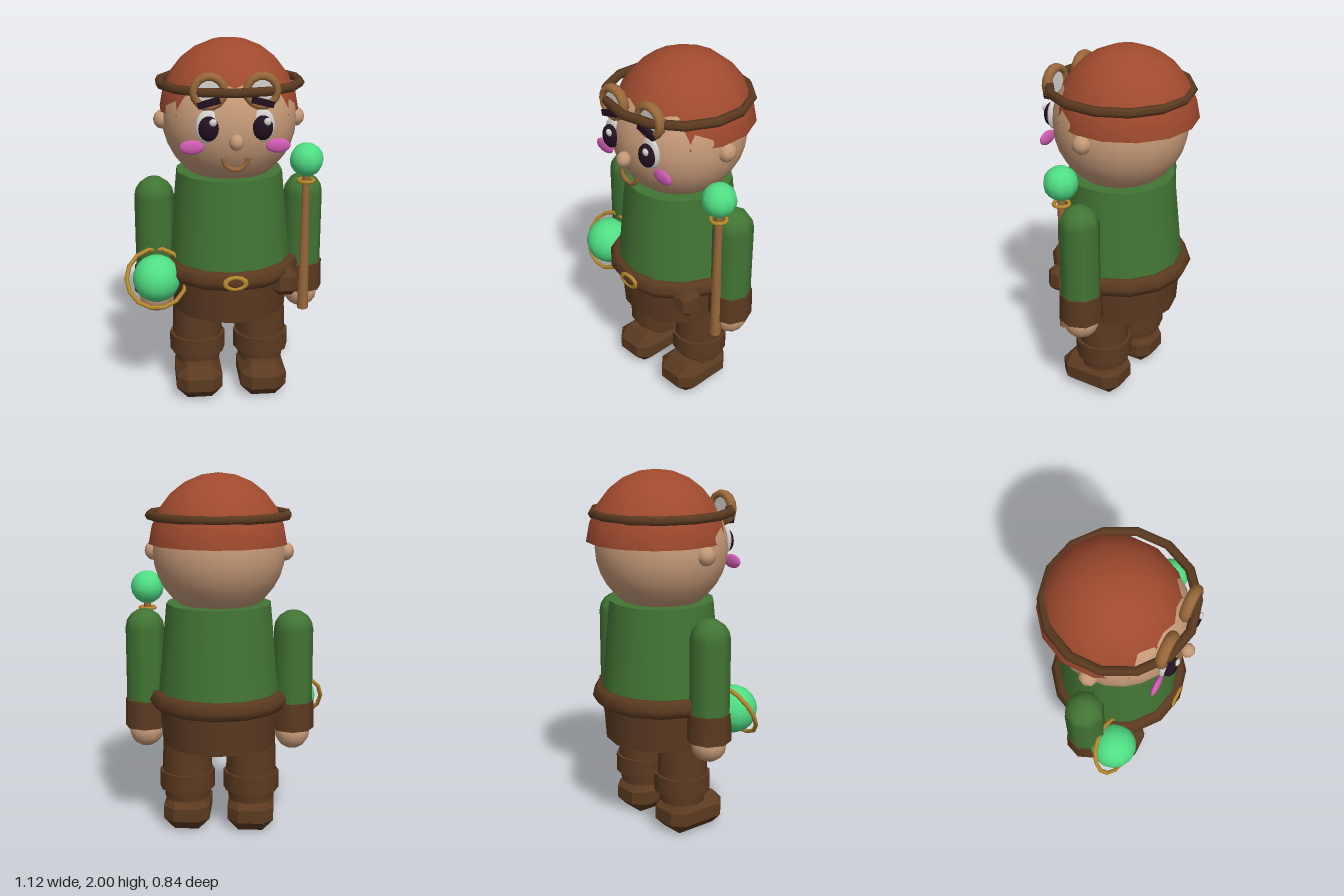
import * as THREE from 'three';
import { ConvexGeometry } from 'three/addons/geometries/ConvexGeometry.js';

const mat = (name, color) => new THREE.MeshStandardMaterial({ name, color });

export function createModel() {
  const skin = mat('skin', 0xc69a78), hair = mat('hair', 0xa04a2e), green = mat('green cloth', 0x427534),
    leather = mat('brown leather', 0x5b3a20), wood = mat('tan wood', 0x98683a), gold = mat('gold', 0xb98a2e),
    orbGreen = mat('orb green', 0x50de84), white = mat('white', 0xd4d2ce), dark = mat('dark eye', 0x22101f),
    pink = mat('cheek pink', 0xcf5cb4);

  const root = new THREE.Group();
  const body = new THREE.Group();
  body.name = 'figure';
  body.position.x = 0.027;
  root.add(body);

  const add = (name, geometry, material, x, y, z) => {
    const m = new THREE.Mesh(geometry, material);
    m.name = name;
    m.position.set(x, y, z);
    body.add(m);
    return m;
  };
  const ball = (name, material, x, y, z, rx, ry = rx, rz = rx, w = 14, h = 10) =>
    add(name, new THREE.SphereGeometry(1, w, h).scale(rx, ry, rz), material, x, y, z);
  const tube = (name, material, x, y0, y1, z, r0, r1, n) =>
    add(name, new THREE.CylinderGeometry(r1, r0, y1 - y0, n), material, x, (y0 + y1) / 2, z);
  // Flat ring lying around the y axis
  const hoop = (name, material, x, y, z, r, t, radial, n) =>
    add(name, new THREE.TorusGeometry(r, t, radial, n).rotateX(Math.PI / 2).rotateY(Math.PI / 2), material, x, y, z);
  // Box with its edges and corners cut off
  const cutBox = (w, h, d, c, taper = 1) => {
    const pts = [];
    for (const sx of [-1, 1]) for (const sy of [-1, 1]) for (const sz of [-1, 1])
      for (let k = 0; k < 3; k++) {
        const f = sy > 0 ? taper : 1;
        pts.push(new THREE.Vector3(
          sx * (w / 2 - (k === 0 ? 0 : c)) * f,
          sy * (h / 2 - (k === 1 ? 0 : c)),
          sz * (d / 2 - (k === 2 ? 0 : c)) * f));
      }
    return new ConvexGeometry(pts);
  };

  // Torso, hips and belt
  tube('tunic', green, 0, 0.75, 1.3, 0, 0.342, 0.29, 14);
  tube('hips', leather, 0, 0.515, 0.77, 0, 0.315, 0.333, 14);
  hoop('belt', leather, 0, 0.77, 0, 0.335, 0.055, 6, 14);
  const buckle = add('buckle', new THREE.TorusGeometry(0.033, 0.011, 6, 12), gold, 0, 0.77, 0.37);
  buckle.scale.x = 1.6;
  add('pouch', cutBox(0.14, 0.15, 0.135, 0.035, 0.95), leather, 0.285, 0.715, 0.208);

  for (const s of [-1, 1]) {
    const side = s > 0 ? 'left' : 'right';

    // Leg and boot
    const lx = s * 0.181;
    tube(side + 'Leg', leather, lx, 0.3, 0.6, 0.005, 0.143, 0.133, 12);
    tube(side + 'BootShaft', leather, lx, 0.175, 0.3, 0.005, 0.128, 0.138, 12);
    tube(side + 'BootCuff', leather, lx, 0.236, 0.338, 0.005, 0.157, 0.157, 12);
    add(side + 'Boot', cutBox(0.26, 0.198, 0.37, 0.062), leather, lx, 0.099, 0.053);

    // Arm and hand
    const ax = s * 0.41;
    tube(side + 'Sleeve', green, ax, 0.7, 1.155, 0, 0.108, 0.108, 8);
    ball(side + 'Shoulder', green, ax, 1.155, 0, 0.108, 0.108, 0.108, 8, 8);
    tube(side + 'Cuff', leather, ax, 0.595, 0.752, 0, 0.12, 0.116, 8);
    ball(side + 'Hand', skin, ax, 0.572, 0, 0.097, 0.097, 0.097, 12, 8);

    // Ear, eye, brow and cheek
    ball(side + 'Ear', skin, s * 0.358, 1.58, 0.01, 0.048, 0.052, 0.052, 8, 6);
    ball(side + 'EyeWhite', white, s * 0.138, 1.607, 0.322, 0.064, 0.086, 0.024);
    ball(side + 'Pupil', dark, s * 0.137, 1.6, 0.345, 0.052, 0.064, 0.036);
    ball(side + 'EyeGlint', white, s * 0.137 + 0.02, 1.637, 0.373, 0.02, 0.02, 0.012, 8, 6);
    const brow = add(side + 'Brow', new THREE.BoxGeometry(0.115, 0.032, 0.03), dark, s * 0.135, 1.73, 0.34);
    brow.rotation.z = -s * 0.25;
    ball(side + 'Cheek', pink, s * 0.22, 1.5, 0.318, 0.064, 0.038, 0.017);

    // Goggle ring with pale lens
    add(side + 'GoggleRing', new THREE.TorusGeometry(0.076, 0.022, 8, 14).scale(1, 1, 1.35), wood, s * 0.133, 1.782, 0.318);
    add(side + 'GoggleLens', new THREE.CylinderGeometry(0.076, 0.076, 0.02, 14).rotateX(Math.PI / 2), white, s * 0.133, 1.782, 0.318);
  }

  // Head
  ball('head', skin, 0, 1.585, 0, 0.36, 0.36, 0.36, 24, 16);
  ball('nose', skin, 0, 1.535, 0.38, 0.038, 0.042, 0.04, 8, 6);
  const mouth = add('mouth', new THREE.TorusGeometry(0.063, 0.013, 6, 10, Math.PI), wood, 0, 1.447, 0.345);
  mouth.rotation.z = Math.PI;

  // Hair cap, open underneath
  hair.side = THREE.DoubleSide;
  add('hair', new THREE.SphereGeometry(1, 14, 6, 0, Math.PI * 2, 0, 1.5).rotateY(Math.PI / 2).scale(0.376, 0.4, 0.38), hair, 0, 1.6, -0.037);
  const band = hoop('headband', leather, 0, 1.778, 0.003, 0.374, 0.025, 6, 14);
  band.rotation.x = -0.015;

  // Staff in the left hand
  tube('staff', wood, 0.408, 0.5, 1.29, 0.108, 0.031, 0.02, 8);
  hoop('staffRing', gold, 0.408, 1.248, 0.108, 0.042, 0.01, 6, 12);
  ball('staffOrb', orbGreen, 0.408, 1.365, 0.108, 0.092, 0.092, 0.092, 10, 8);

  // Ringed orb at the right hand
  ball('handOrb', orbGreen, -0.41, 0.735, 0.17, 0.13, 0.13, 0.13, 14, 10);
  const orbRing = add('orbRing', new THREE.TorusGeometry(0.163, 0.012, 6, 14), gold, -0.41, 0.735, 0.17);
  orbRing.rotation.x = -0.5;

  return root;
}
